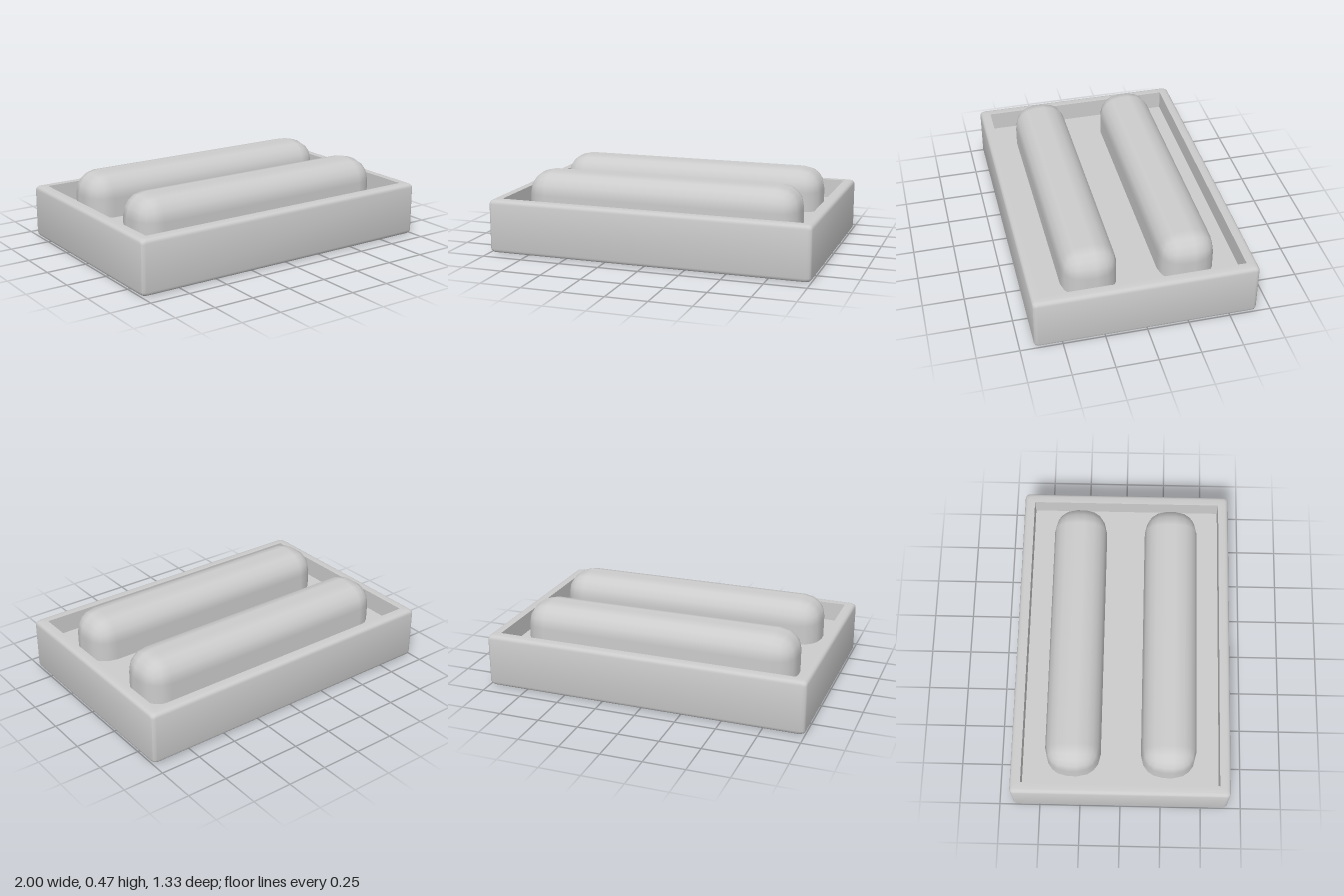
import * as THREE from 'three';
import { toCreasedNormals } from 'three/addons/utils/BufferGeometryUtils.js';
import { RoundedBoxGeometry } from 'three/addons/geometries/RoundedBoxGeometry.js';

const HX = 1, HZ = 0.665, HEIGHT = 0.33, BEVEL = 0.025, FLOOR = 0.21;
const STEPS = 3; // arc steps per rounded corner

// Rounded rectangle outline in the xz plane at height y
function ring(hx, hz, r, y) {
  const points = [];
  for (let corner = 0; corner < 4; corner++) {
    const sx = corner === 0 || corner === 3 ? 1 : -1;
    const sz = corner < 2 ? 1 : -1;
    for (let i = 0; i <= STEPS; i++) {
      const a = (corner + i / STEPS) * Math.PI / 2;
      points.push([sx * (hx - r) + r * Math.cos(a), y, sz * (hz - r) + r * Math.sin(a)]);
    }
  }
  return points;
}

// Joins successive rings into one surface
function skin(rings) {
  const positions = [];
  for (let k = 0; k < rings.length - 1; k++) {
    const lower = rings[k], upper = rings[k + 1], n = lower.length;
    for (let j = 0; j < n; j++) {
      const m = (j + 1) % n;
      positions.push(...lower[j], ...upper[j], ...lower[m]);
      positions.push(...lower[m], ...upper[j], ...upper[m]);
    }
  }
  const geometry = new THREE.BufferGeometry();
  geometry.setAttribute('position', new THREE.Float32BufferAttribute(positions, 3));
  return toCreasedNormals(geometry, 0.6);
}

function trayGeometry() {
  const rings = [ring(0, 0, 0, 0)];
  // Rounded lower edge, outer wall, rounded upper edge
  for (const [centre, start] of [[BEVEL, -Math.PI / 2], [HEIGHT - BEVEL, 0]]) {
    for (let i = 0; i <= STEPS; i++) {
      const a = start + (i / STEPS) * Math.PI / 2;
      const inset = BEVEL * (1 - Math.cos(a));
      rings.push(ring(HX - inset, HZ - inset, BEVEL, centre + BEVEL * Math.sin(a)));
    }
  }
  // Rim, sharp-cornered inner wall and floor
  rings.push(ring(0.935, 0.6, 0, HEIGHT), ring(0.935, 0.6, 0, FLOOR), ring(0, 0, 0, FLOOR));
  return skin(rings);
}

export function createModel() {
  const group = new THREE.Group();
  group.name = 'trayWithBars';
  const material = new THREE.MeshStandardMaterial({ color: 0xcccccc });

  const tray = new THREE.Mesh(trayGeometry(), material);
  tray.name = 'tray';
  group.add(tray);

  // Two rounded bars seated in the tray floor
  const barGeometry = new RoundedBoxGeometry(1.73, 0.41, 0.335, 2, 0.14);
  for (const [name, z] of [['frontBar', 0.291], ['backBar', -0.291]]) {
    const bar = new THREE.Mesh(barGeometry, material);
    bar.name = name;
    bar.position.set(0, 0.265, z);
    group.add(bar);
  }
  return group;
}
